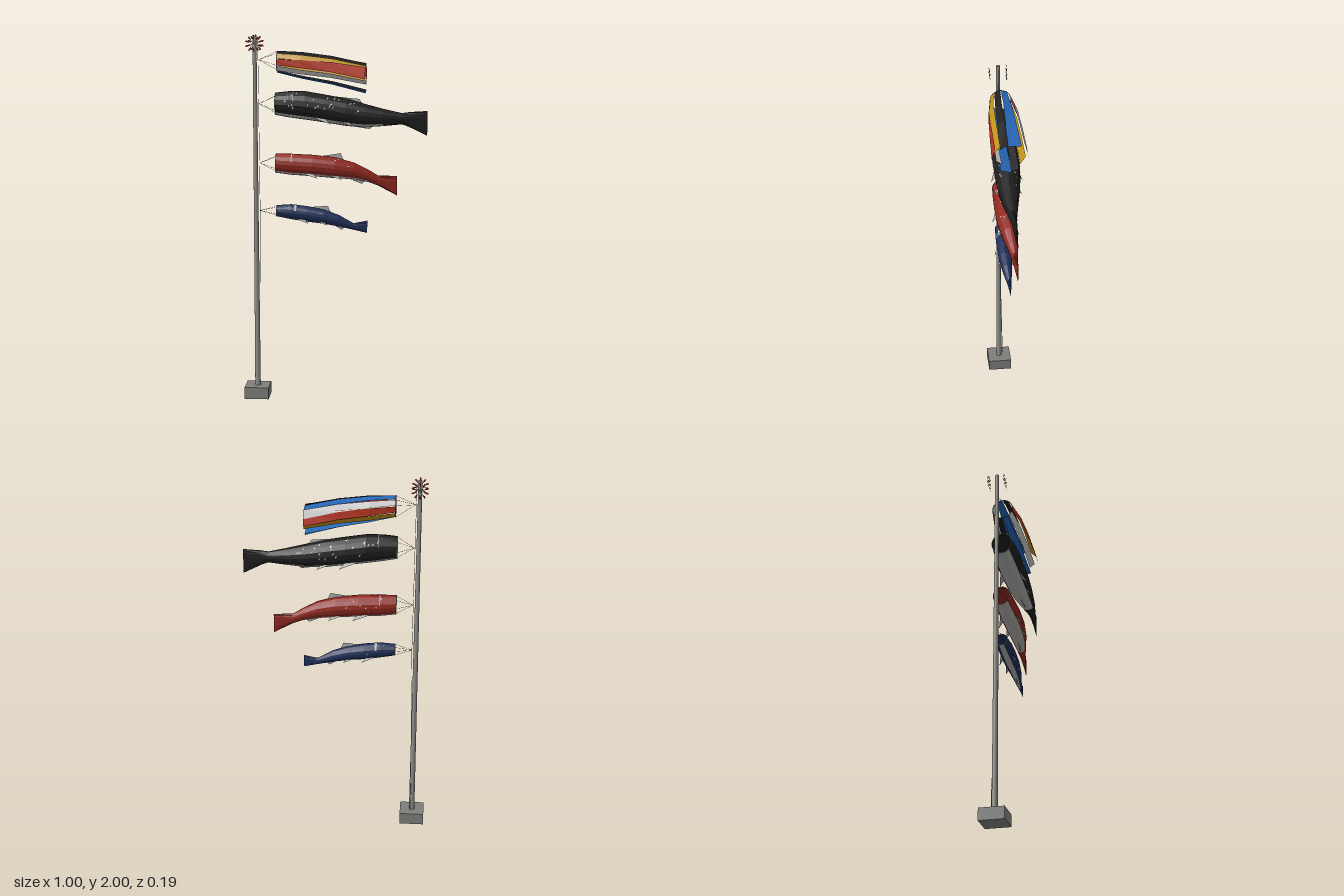
import * as THREE from 'three';

const mat = (name, color, extra = {}) =>
  new THREE.MeshStandardMaterial({ name, color, flatShading: true, side: THREE.DoubleSide, ...extra });
const M = {
  stone: mat('stone', 0x7e7e7b),
  metal: mat('metal', 0x8f8f8b, { flatShading: false }),
  black: mat('black cloth', 0x1e1e1e),
  red: mat('red cloth', 0x8f2820),
  navy: mat('navy cloth', 0x1f3058),
  blue: mat('blue ribbon', 0x2766b4),
  yellow: mat('yellow ribbon', 0xc0921a),
  orange: mat('bright red ribbon', 0xb53522),
  white: mat('white cloth', 0xd2d2d2),
  pale: mat('pale grey cloth', 0xb0b0ae),
};
const POLE_X = -0.433;
const V = (x, y, z) => new THREE.Vector3(x, y, z);

function add(parent, name, geo, material) {
  const mesh = new THREE.Mesh(geo, material);
  mesh.name = name;
  parent.add(mesh);
  return mesh;
}

// Thin straight rod between two points
function rod(parent, name, a, b, r, material) {
  const m = add(parent, name, new THREE.CylinderGeometry(r, r, a.distanceTo(b), 5), material);
  m.position.copy(a).add(b).multiplyScalar(0.5);
  m.quaternion.setFromUnitVectors(V(0, 1, 0), b.clone().sub(a).normalize());
}

// Flat fan from corner points
function plate(parent, name, pts, material) {
  const g = new THREE.BufferGeometry().setFromPoints(pts);
  const idx = [];
  for (let i = 1; i < pts.length - 1; i++) idx.push(0, i, i + 1);
  g.setIndex(idx);
  g.computeVertexNormals();
  add(parent, name, g, material);
}

// Grid surface: rows of points, with a material index chosen for each cell
function skin(rows, cellMat = () => 0) {
  const n = rows[0].length, g = new THREE.BufferGeometry().setFromPoints(rows.flat());
  const lists = [[], []];
  for (let i = 0; i < rows.length - 1; i++)
    for (let j = 0; j < n - 1; j++) {
      const p = i * n + j;
      lists[cellMat(i, j)].push(p, p + n, p + 1, p + 1, p + n, p + n + 1);
    }
  g.setIndex(lists.flat());
  g.addGroup(0, lists[0].length, 0);
  g.addGroup(lists[0].length, lists[1].length, 1);
  g.computeVertexNormals();
  return g;
}

// Sections are [x, top, bottom, half width, z centre]
function onBody(sections, x, a, off = 0) {
  let i = 0;
  while (i < sections.length - 2 && sections[i + 1][0] < x) i++;
  const A = sections[i], B = sections[i + 1], t = (x - A[0]) / (B[0] - A[0]);
  const [, top, bot, w, zc] = A.map((v, k) => v + (B[k] - v) * t);
  return V(x, (top + bot) / 2 + Math.sin(a) * ((top - bot) / 2 + off), zc + Math.cos(a) * (w + off));
}

// Hollow fish windsock with belly, fins, mouth hoop, bridle and pale marks
function fish(name, material, sections, opt) {
  const g = new THREE.Group();
  g.name = name;
  const N = 16;
  const rows = sections.map(s =>
    Array.from({ length: N + 1 }, (_, j) => onBody(sections, s[0], (j / N) * Math.PI * 2)));
  const belly = (i, j) => (Math.abs(j - 11.5) < opt.bellyHalf && sections[i][0] < opt.bellyEnd ? 1 : 0);
  add(g, 'body', skin(rows, belly), [material, M.pale]);

  const x0 = sections[0][0];
  const hoop = Array.from({ length: N }, (_, j) => onBody(sections, x0, (j / N) * Math.PI * 2));
  add(g, 'mouthHoop', new THREE.TubeGeometry(new THREE.CatmullRomCurve3(hoop, true), 24, 0.0016, 5, true), M.white);
  const knot = V(-0.412, (sections[0][1] + sections[0][2]) / 2, 0);
  for (let k = 0; k < 4; k++)
    rod(g, 'bridle', knot, onBody(sections, x0, Math.PI / 4 + k * Math.PI / 2), 0.0007, M.black);

  // Dorsal and anal fins on the centre line: [front x, back x, height]
  const fin = (label, [xa, xb, h], a) => {
    const p = onBody(sections, xa, a), q = onBody(sections, xb, a);
    plate(g, label, [p, q, V(xb - 0.015, q.y + h, q.z)], M.pale);
  };
  fin('dorsalFin', opt.dorsal, Math.PI / 2);
  fin('analFin', opt.anal, -Math.PI / 2);
  // Paired side fins, splayed outward and down: [front x, length]
  for (const s of [1, -1])
    for (const [xa, len] of opt.sideFins) {
      const a = s > 0 ? -0.75 : Math.PI + 0.75;
      const p = onBody(sections, xa, a), q = onBody(sections, xa + len * 0.75, a);
      plate(g, 'sideFin', [p, q, V(xa + len, q.y - len * 0.22, q.z + s * len * 0.3)], M.pale);
    }

  // Band over the back behind the gills
  const band = opt.band.map(x =>
    Array.from({ length: 9 }, (_, j) => onBody(sections, x, 0.3 + (j / 8) * (Math.PI - 0.6), 0.002)));
  add(g, 'gillBand', skin(band), M.pale);

  // Small scale flecks on both flanks
  let seed = opt.flecks * 7 + 3;
  const rnd = () => (seed = (seed * 16807) % 2147483647) / 2147483647;
  rnd(); rnd();
  for (let i = 0; i < opt.flecks; i++) {
    const x = x0 + 0.04 + rnd() * opt.fleckSpan, a0 = -0.3 + rnd() * 1.5;
    const a = i % 2 ? a0 : Math.PI - a0, d = 0.006 + rnd() * 0.008;
    plate(g, 'scaleFleck', [onBody(sections, x, a, 0.002), onBody(sections, x + d, a + 0.1, 0.002),
      onBody(sections, x + d * 0.5, a + 0.2, 0.002)], M.white);
  }
  return g;
}

// Ribbon windsock: ten strips, five colours twice round, flaring from a hoop
function streamer() {
  const g = new THREE.Group();
  g.name = 'streamer';
  const cy = 1.86, R = 0.056, x0 = -0.31;
  const hoop = add(g, 'streamerHoop', new THREE.TorusGeometry(R, 0.0016, 5, 24), M.black);
  hoop.rotation.y = Math.PI / 2;
  hoop.position.set(x0, cy, 0);
  // [material, end z, end y, end tilt, end half width]
  const strips = [
    [M.blue, -0.018, 1.843, 0.1, 0.037], [M.black, 0.034, 1.84, -0.6, 0.024],
    [M.yellow, 0.07, 1.826, -0.8, 0.024], [M.orange, 0.088, 1.806, -1.3, 0.033],
    [M.white, 0.06, 1.755, -2.5, 0.018], [M.blue, 0.024, 1.7, -2.9, 0.03],
    [M.black, -0.022, 1.705, -3.4, 0.022], [M.yellow, -0.06, 1.76, -4.1, 0.026],
    [M.orange, -0.084, 1.797, -4.95, 0.03], [M.white, -0.078, 1.828, -5.05, 0.024],
  ];
  strips.forEach(([m, ez, ey, tilt, w], k) => {
    const ta = 0.314 - k * Math.PI / 5, a = ta + Math.PI / 2;
    const rows = [0, 0.28, 0.62, 1].map((t, i) => {
      const bulge = [0, 0.012, 0.008, 0][i];
      const z = Math.cos(a) * (R * (1 - t) + bulge) + ez * t;
      const y = (cy + Math.sin(a) * R) * (1 - t) + ey * t + Math.sin(a) * bulge * 0.6 + [0, 0.006, 0.01, 0][i];
      const r = ta + (tilt - ta) * t, h = 0.016 + (w - 0.016) * t;
      return [1, -1].map(s => V(x0 + t * 0.475, y + s * Math.sin(r) * h, z + s * Math.cos(r) * h));
    });
    add(g, 'ribbon', skin(rows), m);
    if (k % 3 === 0) rod(g, 'bridle', V(-0.412, cy + 0.01, 0), rows[0][0], 0.0007, M.black);
  });
  return g;
}

// Pair of spoked pinwheels either side of the pole top
function pinwheels() {
  const g = new THREE.Group();
  g.name = 'pinwheels';
  for (const z of [0.045, -0.045])
    for (let k = 0; k < 10; k++) {
      const a = (k + 0.5) * Math.PI / 5;
      const p = (r, d) => V(POLE_X + Math.cos(a + d) * r, 1.957 + Math.sin(a + d) * r, z);
      rod(g, 'spoke', p(0, 0), p(0.028, 0), 0.0009, M.metal);
      plate(g, 'vane', [p(0.018, 0), p(0.036, -0.13), p(0.045, -0.08), p(0.045, 0.08), p(0.036, 0.13)], M.red);
    }
  return g;
}

export function createModel() {
  const model = new THREE.Group();
  model.name = 'fishBannerPole';

  add(model, 'base', new THREE.BoxGeometry(0.134, 0.065, 0.134), M.stone).position.set(POLE_X, 0.0325, 0);
  add(model, 'pole', new THREE.CylinderGeometry(0.0105, 0.0155, 1.935, 16), M.metal).position.set(POLE_X, 1.0325, 0);
  rod(model, 'halyard', V(-0.416, 1.98, 0), V(-0.411, 1, 0), 0.0012, M.pale);
  rod(model, 'halyard', V(-0.411, 1, 0), V(-0.425, 0.2, -0.018), 0.0012, M.pale);
  rod(model, 'halyardTail', V(-0.425, 0.2, -0.02), V(-0.425, 0.065, -0.02), 0.0012, M.pale);

  model.add(pinwheels(), streamer());

  model.add(fish('blackFish', M.black, [
    [-0.322, 1.695, 1.575, 0.056, 0], [-0.25, 1.703, 1.562, 0.062, 0], [-0.16, 1.703, 1.55, 0.07, -0.004],
    [-0.05, 1.685, 1.535, 0.07, -0.002], [0.06, 1.665, 1.518, 0.065, 0.003], [0.16, 1.638, 1.512, 0.055, 0.008],
    [0.26, 1.612, 1.52, 0.04, 0.012], [0.36, 1.59, 1.53, 0.022, 0.012], [0.4, 1.596, 1.515, 0.014, 0.011],
    [0.495, 1.602, 1.468, 0.003, 0.008],
  ], { bellyHalf: 2, bellyEnd: 0.2, dorsal: [0, 0.145, 0.022], anal: [0.1, 0.2, -0.012],
    sideFins: [[-0.13, 0.11], [0.02, 0.08]], flecks: 44, fleckSpan: 0.48, band: [-0.226, -0.223] }));

  model.add(fish('redFish', M.red, [
    [-0.322, 1.365, 1.26, 0.046, 0], [-0.24, 1.365, 1.25, 0.052, 0], [-0.12, 1.36, 1.243, 0.056, 0],
    [0, 1.347, 1.234, 0.053, 0], [0.1, 1.32, 1.228, 0.043, -0.004], [0.18, 1.28, 1.213, 0.028, -0.01],
    [0.23, 1.25, 1.195, 0.017, -0.013], [0.335, 1.246, 1.14, 0.003, -0.018],
  ], { bellyHalf: 2, bellyEnd: 0.15, dorsal: [-0.07, 0.045, 0.035], anal: [0.08, 0.16, -0.014],
    sideFins: [[-0.19, 0.1], [-0.04, 0.08]], flecks: 14, fleckSpan: 0.36, band: [-0.238, -0.233] }));

  model.add(fish('blueFish', M.navy, [
    [-0.32, 1.082, 1.02, 0.032, 0], [-0.24, 1.088, 1.005, 0.038, 0], [-0.15, 1.078, 0.992, 0.041, 0],
    [-0.06, 1.06, 0.982, 0.037, 0.002], [0.02, 1.032, 0.968, 0.027, 0.002], [0.1, 0.987, 0.951, 0.012, 0],
    [0.175, 1.002, 0.934, 0.002, 0],
  ], { bellyHalf: 1, bellyEnd: 0.05, dorsal: [-0.13, -0.025, 0.034], anal: [0, 0.05, -0.012],
    sideFins: [[-0.22, 0.08], [-0.1, 0.06]], flecks: 4, fleckSpan: 0.25, band: [-0.222, -0.21] }));

  return model;
}
